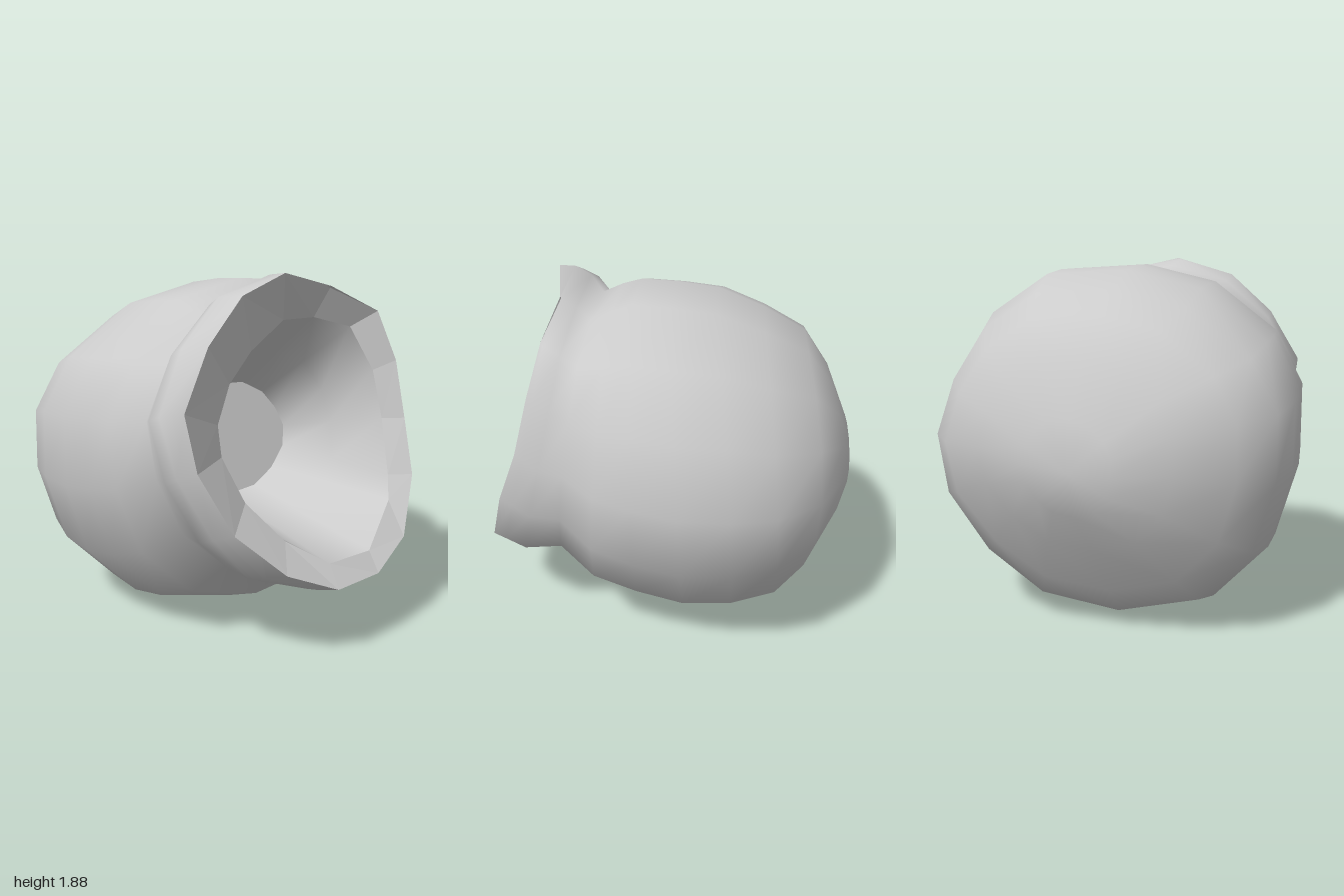
import * as THREE from 'three';
import { mergeVertices } from 'three/addons/utils/BufferGeometryUtils.js';

const SIDES = 15;

// Mouth edge and hole edge, counter-clockwise from the bottom
const rimEdge = [
  [-0.10, 0.40, 1.00], [0.20, 0.40, 0.97], [0.43, 0.53, 0.92], [0.57, 0.82, 0.83], [0.61, 1.10, 0.72],
  [0.61, 1.40, 0.64], [0.53, 1.66, 0.57], [0.23, 1.80, 0.53], [-0.13, 1.88, 0.60], [-0.42, 1.79, 0.65],
  [-0.63, 1.58, 0.68], [-0.78, 1.30, 0.71], [-0.74, 1.03, 0.75], [-0.61, 0.74, 0.85], [-0.39, 0.53, 0.96],
];
const holeEdge = [
  [-0.08, 0.50, 0.91], [0.20, 0.50, 0.90], [0.42, 0.70, 0.81], [0.46, 0.82, 0.76], [0.51, 1.10, 0.65],
  [0.50, 1.35, 0.58], [0.40, 1.58, 0.50], [0.18, 1.64, 0.46], [-0.03, 1.64, 0.47], [-0.27, 1.51, 0.52],
  [-0.42, 1.37, 0.55], [-0.51, 1.19, 0.58], [-0.51, 1.04, 0.61], [-0.43, 0.82, 0.69], [-0.28, 0.63, 0.81],
];

// Widest cross-section of the body [x, y], in the same order
const bodyOutline = [
  [-0.13, 0.00], [0.32, 0.06], [0.65, 0.29], [0.90, 0.62], [0.97, 0.97],
  [0.87, 1.30], [0.69, 1.60], [0.38, 1.81], [-0.07, 1.83], [-0.47, 1.73],
  [-0.82, 1.46], [-0.97, 1.17], [-0.97, 0.80], [-0.86, 0.42], [-0.58, 0.12],
];

// Tilted loop: x limits, bottom and top [y, z], z at mid-height;
// blend 0 follows the body outline, 1 the uneven shape of the mouth
function ring(x0, x1, [yb, zb], [yt, zt], zMid, blend = 0) {
  const bend = zMid - (zb + zt) / 2;
  return rimEdge.map(([rx, ry], i) => {
    const [bx, by] = bodyOutline[i];
    const u = THREE.MathUtils.lerp(bx / 0.97, (rx + 0.085) / 0.695, blend);
    const v = THREE.MathUtils.lerp((by - 0.915) / 0.915, (ry - 1.14) / 0.74, blend);
    return [
      (x0 + x1) / 2 + (u * (x1 - x0)) / 2,
      (yb + yt) / 2 + (v * (yt - yb)) / 2,
      (zb + zt) / 2 + (v * (zt - zb)) / 2 + bend * (1 - v * v),
    ];
  });
}

const blendRings = (a, b, t) => a.map((p, i) => p.map((c, k) => c + (b[i][k] - c) * t));
const pointRing = (p) => Array.from({ length: SIDES }, () => p);

// Skin a series of loops
function skin(name, rings, flat = false) {
  const index = [];
  for (let r = 0; r < rings.length - 1; r++) {
    for (let i = 0; i < SIDES; i++) {
      const j = (i + 1) % SIDES;
      const a = r * SIDES + i, b = r * SIDES + j, c = b + SIDES, d = a + SIDES;
      index.push(a, b, d, b, c, d);
    }
  }
  let geometry = new THREE.BufferGeometry();
  geometry.setAttribute('position', new THREE.Float32BufferAttribute(rings.flat(2), 3));
  geometry.setIndex(index);
  geometry = flat ? geometry.toNonIndexed() : mergeVertices(geometry);
  geometry.computeVertexNormals();
  const mesh = new THREE.Mesh(
    geometry,
    new THREE.MeshStandardMaterial({ color: 0xcccccc, flatShading: flat, side: THREE.DoubleSide }),
  );
  mesh.name = name;
  return mesh;
}

export function createModel() {
  const group = new THREE.Group();
  group.name = 'roundPot';

  // Bulbous body, from the back pole forward to the neck and lip
  group.add(skin('body', [
    pointRing([-0.03, 0.86, -1.0]),
    ring(-0.24, 0.20, [0.65, -0.965], [1.10, -0.97], -0.985),
    ring(-0.51, 0.46, [0.46, -0.84], [1.37, -0.86], -0.92),
    ring(-0.77, 0.70, [0.22, -0.71], [1.57, -0.72], -0.80),
    ring(-0.92, 0.87, [0.08, -0.60], [1.69, -0.50], -0.59),
    ring(-0.97, 0.95, [0.01, -0.36], [1.79, -0.26], -0.37),
    ring(-0.97, 0.97, [0.00, -0.12], [1.82, -0.04], -0.12),
    ring(-0.95, 0.95, [0.06, 0.14], [1.83, 0.15], 0.10),
    ring(-0.92, 0.88, [0.16, 0.38], [1.80, 0.25], 0.29, 0.2),
    ring(-0.81, 0.73, [0.34, 0.56], [1.75, 0.36], 0.46, 0.5),
    ring(-0.86, 0.70, [0.33, 0.78], [1.83, 0.43], 0.58, 0.8),
    ring(-0.86, 0.64, [0.37, 0.90], [1.87, 0.52], 0.67, 0.95),
    rimEdge,
  ]));

  // Faceted bevel around the mouth
  group.add(skin('rim', [rimEdge, holeEdge], true));

  // Hollow tapering to a flat floor
  const floorEdge = ring(-0.43, 0.39, [0.63, 0.06], [1.23, -0.10], -0.02);
  group.add(skin('cavity', [holeEdge, blendRings(holeEdge, floorEdge, 0.5), floorEdge]));
  group.add(skin('cavityFloor', [floorEdge, pointRing([-0.02, 0.93, -0.02])], true));

  return group;
}
